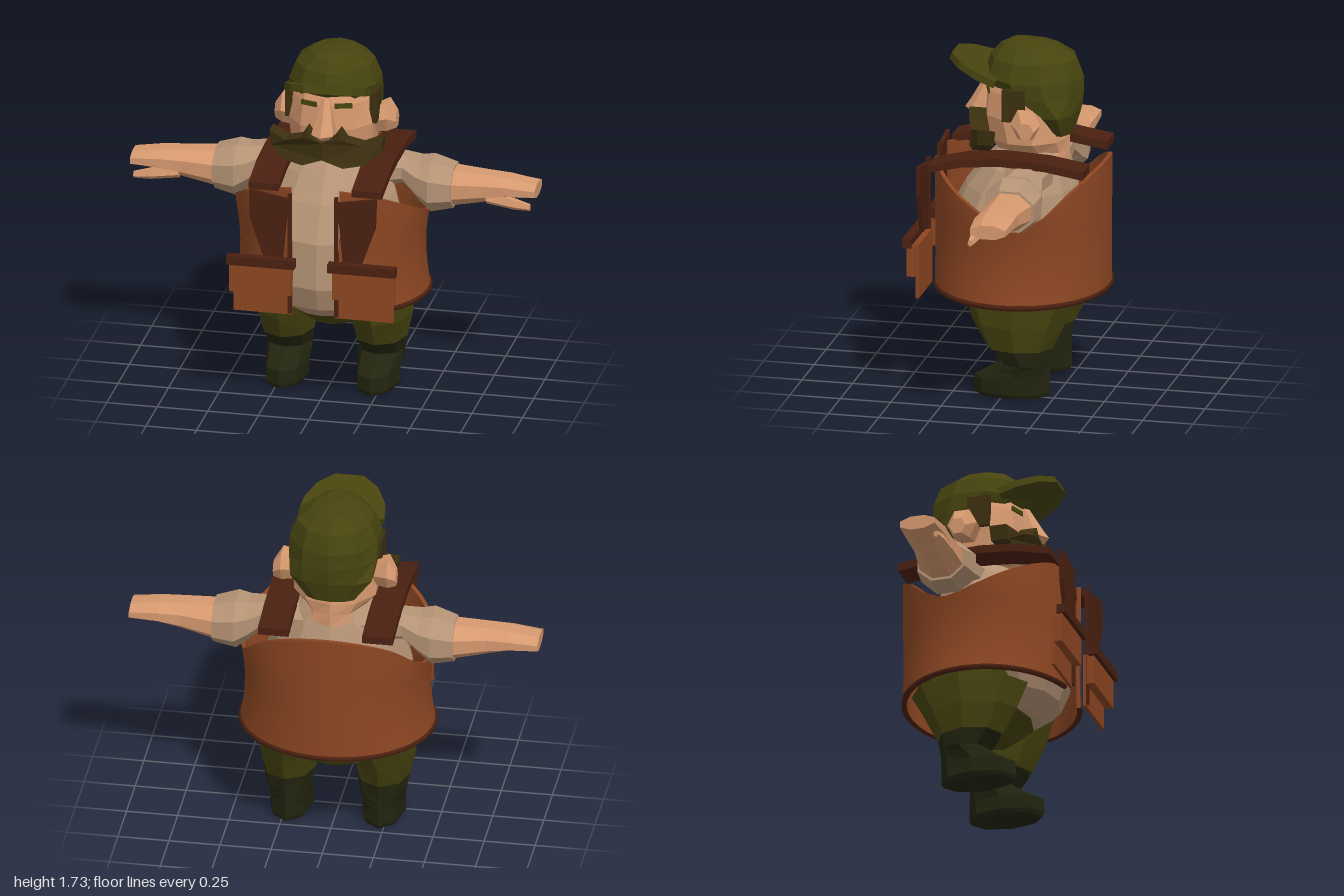
import * as THREE from 'three';
import { toCreasedNormals } from 'three/addons/utils/BufferGeometryUtils.js';

const paint = (name, color, flatShading = true) => {
  const m = new THREE.MeshStandardMaterial({ color, flatShading });
  m.name = name;
  return m;
};

// Skin a list of equal-length rings and close both ends with fans
function loft(rings) {
  const n = rings[0].length, pos = [], index = [];
  rings.forEach(r => r.forEach(p => pos.push(...p)));
  for (let i = 0; i < rings.length - 1; i++) {
    for (let j = 0; j < n; j++) {
      const k = (j + 1) % n, a = i * n + j, b = i * n + k;
      index.push(a, b, b + n, a, b + n, a + n);
    }
  }
  [0, rings.length - 1].forEach((r, end) => {
    const c = pos.length / 3;
    pos.push(...[0, 1, 2].map(d => rings[r].reduce((s, p) => s + p[d], 0) / n));
    for (let j = 0; j < n; j++) {
      const a = r * n + j, b = r * n + (j + 1) % n;
      index.push(c, end ? a : b, end ? b : a);
    }
  });
  const g = new THREE.BufferGeometry();
  g.setAttribute('position', new THREE.Float32BufferAttribute(pos, 3));
  g.setIndex(index);
  g.computeVertexNormals();
  return g;
}

// Upright form: rows of [y, half width, front z, back z, centre x]
const upright = (rows, sides = 10) => loft(rows.map(([y, rx, zf, zb, cx = 0]) =>
  Array.from({ length: sides }, (_, j) => {
    const t = j / sides * Math.PI * 2;
    return [cx + rx * Math.sin(t), y, (zf + zb) / 2 + (zf - zb) / 2 * Math.cos(t)];
  })));

// Sideways form: rows of [x, centre y, half height, centre z, half depth]
const sideways = (rows, sides = 8) => loft(rows.map(([x, cy, ry, cz, rz]) =>
  Array.from({ length: sides }, (_, j) => {
    const t = (j + 0.5) / sides * Math.PI * 2;
    return [x, cy + ry * Math.cos(t), cz + rz * Math.sin(t)];
  })));

const extrude = (pts, depth) => new THREE.ExtrudeGeometry(
  new THREE.Shape(pts.map(p => new THREE.Vector2(...p))), { depth, bevelEnabled: false });

const box = (w, h, d, x, y, z) => new THREE.BoxGeometry(w, h, d).translate(x, y, z);

// Height of the vest's top edge, dipping under the arms
const EDGE = [[-0.47, 1.17], [-0.35, 1.07], [-0.25, 0.97], [-0.15, 0.915], [-0.05, 0.93],
  [0.05, 0.97], [0.2, 1.05], [0.39, 1.165]];
function edgeHeight(z) {
  for (let i = 1; i < EDGE.length; i++) {
    const [z0, y0] = EDGE[i - 1], [z1, y1] = EDGE[i];
    if (z <= z1) return y0 + (y1 - y0) * Math.max(0, (z - z0) / (z1 - z0));
  }
  return 1.165;
}

// Point on the vest wall at angle t, height y, pushed inward by inset
function wall(t, y, inset = 0) {
  const flare = 0.45 + 0.025 * Math.min(1, ((y - 0.73) / 0.22) ** 2);
  return [(flare - inset) * Math.sin(t), y, -0.04 + (0.425 - inset) * Math.cos(t)];
}

function vestGeometry() {
  const cols = 64, steps = 8, open = 0.265, rings = [];
  for (let i = 0; i <= cols; i++) {
    const t = open + (Math.PI * 2 - open * 2) * i / cols;
    const top = edgeHeight(-0.04 + 0.425 * Math.cos(t));
    const ys = Array.from({ length: steps + 1 }, (_, k) => 0.51 + (top - 0.51) * k / steps);
    rings.push([...ys.map(y => wall(t, y, 0.02)), ...ys.reverse().map(y => wall(t, y))]);
  }
  return toCreasedNormals(loft(rings), 0.7);
}

export function createModel() {
  const model = new THREE.Group();
  model.name = 'figure';
  const skin = paint('skin', 0xd6996f), shirt = paint('shirt', 0xb59375);
  const olive = paint('olive cloth', 0x47440f), boots = paint('boot', 0x22240f);
  const hair = paint('hair', 0x3d3010);
  const leather = paint('leather', 0x8c4622, false), trim = paint('dark leather', 0x4a2010, false);

  const add = (name, geo, mat, parent = model) => {
    const m = new THREE.Mesh(geo, mat);
    m.name = name;
    parent.add(m);
    return m;
  };

  // Torso and hips
  add('torso', upright([[0.43, 0.17, 0.2, -0.1], [0.5, 0.27, 0.3, -0.2], [0.62, 0.35, 0.345, -0.3],
    [0.85, 0.36, 0.33, -0.33], [1.02, 0.31, 0.24, -0.31], [1.13, 0.26, 0.15, -0.27],
    [1.21, 0.17, 0.08, -0.24]], 12), shirt);
  add('hips', upright([[0.33, 0.12, 0.05, -0.2], [0.42, 0.3, 0.15, -0.34], [0.52, 0.4, 0.22, -0.39],
    [0.68, 0.4, 0.25, -0.38], [0.74, 0.3, 0.2, -0.3]], 12), olive);

  // Head
  add('head', upright([[1.14, 0.17, 0.06, -0.27], [1.2, 0.15, 0.09, -0.27], [1.26, 0.21, 0.13, -0.27],
    [1.38, 0.22, 0.15, -0.25], [1.5, 0.2, 0.14, -0.26], [1.6, 0.17, 0.1, -0.25]]), skin);
  add('nose', upright([[1.345, 0.035, 0.21, 0.1], [1.375, 0.062, 0.25, 0.09], [1.42, 0.052, 0.22, 0.09],
    [1.54, 0.022, 0.15, 0.08]], 6), skin);

  // Cap with its peak
  add('cap', upright([[1.29, 0.12, -0.19, -0.29], [1.4, 0.21, -0.11, -0.325], [1.49, 0.225, 0.08, -0.34],
    [1.57, 0.225, 0.15, -0.34], [1.66, 0.19, 0.12, -0.305], [1.715, 0.12, 0.07, -0.22],
    [1.74, 0.05, 0.02, -0.09]]), olive);
  const peak = add('capPeak', extrude([[-0.21, 0], [0.21, 0], [0.2, 0.1], [0.15, 0.2], [0.07, 0.265],
    [-0.07, 0.265], [-0.15, 0.2], [-0.2, 0.1]], 0.035).rotateX(Math.PI / 2), olive);
  peak.position.set(0, 1.575, 0.05);
  peak.rotation.x = -0.35;

  // Moustache, swept back towards its tips
  const half = [[0.05, 1.355], [0.08, 1.4], [0.11, 1.35], [0.19, 1.32], [0.28, 1.345], [0.27, 1.27],
    [0.2, 1.22], [0.1, 1.21]];
  const moustache = extrude([[0, 1.335], ...half, [0, 1.25],
    ...half.map(([x, y]) => [-x, y]).reverse()].reverse(), 0.085);
  const p = moustache.attributes.position;
  for (let i = 0; i < p.count; i++) p.setZ(i, p.getZ(i) + 0.135 - 0.1 * (p.getX(i) / 0.28) ** 2);
  moustache.computeVertexNormals();
  add('moustache', moustache, hair);

  // Vest body and hem
  add('vest', vestGeometry(), leather);
  const hem = Array.from({ length: 49 }, (_, i) =>
    new THREE.Vector3(...wall(0.25 + (Math.PI * 2 - 0.5) * i / 48, 0.517, 0.005)));
  add('vestHem', new THREE.TubeGeometry(new THREE.CatmullRomCurve3(hem), 64, 0.015, 6), trim);

  // Everything that comes in pairs
  for (const side of [1, -1]) {
    const pair = new THREE.Group();
    pair.name = side > 0 ? 'leftSide' : 'rightSide';
    pair.scale.x = side;
    model.add(pair);
    const put = (name, geo, mat) => add(name, geo, mat, pair);

    // Leg
    put('boot', upright([[0.01, 0.095, 0.145, -0.215, 0.225], [0.03, 0.107, 0.155, -0.225, 0.225],
      [0.1, 0.107, 0.15, -0.225, 0.225], [0.14, 0.11, 0.08, -0.225, 0.225],
      [0.18, 0.115, 0.02, -0.225, 0.23], [0.265, 0.13, 0.09, -0.24, 0.23]], 8), boots);
    put('trouserLeg', upright([[0.255, 0.13, 0.09, -0.24, 0.23], [0.38, 0.155, 0.16, -0.3, 0.232],
      [0.52, 0.19, 0.21, -0.38, 0.21]], 8), olive);

    // Arm
    put('sleeve', sideways([[0.12, 1.1, 0.1, -0.1, 0.14], [0.34, 1.115, 0.075, -0.12, 0.1],
      [0.42, 1.07, 0.11, -0.11, 0.13], [0.48, 1.05, 0.14, -0.105, 0.15],
      [0.59, 1.045, 0.11, -0.11, 0.13]]), shirt);
    put('forearm', sideways([[0.57, 1.045, 0.1, -0.11, 0.12], [0.75, 1.06, 0.075, -0.1, 0.1],
      [0.86, 1.07, 0.055, -0.1, 0.105], [1, 1.065, 0.037, -0.1, 0.095]]), skin);
    put('thumb', sideways([[0.76, 1.03, 0.04, -0.04, 0.04], [0.9, 1.01, 0.03, -0.015, 0.025],
      [0.98, 1.0, 0.018, -0.01, 0.015]], 5), skin);

    // Face details
    put('ear', sideways([[0.19, 1.37, 0.07, -0.09, 0.06], [0.26, 1.385, 0.085, -0.11, 0.075],
      [0.3, 1.36, 0.045, -0.12, 0.04]], 6), skin);
    put('sideburn', box(0.035, 0.16, 0.11, 0.208, 1.46, -0.04), hair);
    const eye = put('eye', new THREE.BoxGeometry(0.085, 0.024, 0.009), olive);
    eye.position.set(0.085, 1.5, 0.115);
    eye.rotation.y = 0.31;

    // Vest fittings: strap over the shoulder, lapel, edge strip and pocket
    put('shoulderStrap', extrude([[0.36, 1.13], [0.36, 1.165], [0.18, 1.21], [0, 1.225], [-0.22, 1.215],
      [-0.41, 1.185], [-0.41, 1.145], [-0.22, 1.175], [0, 1.185], [0.18, 1.17]].reverse(), 0.15)
      .rotateY(-Math.PI / 2).translate(0.33, 0, 0), trim);
    put('lapel', extrude([[0.15, 0.8], [0.24, 0.8], [0.31, 1.0], [0.315, 1.15], [0.12, 1.115]], 0.02)
      .translate(0, 0, 0.4), trim);
    put('edgeStrip', box(0.018, 0.62, 0.02, 0.115, 0.83, 0.405), trim);
    put('pocketBacking', box(0.29, 0.27, 0.015, 0.25, 0.645, 0.395), leather);
    put('pocket', box(0.305, 0.155, 0.04, 0.255, 0.7, 0.425), leather);
    put('pocketFlap', box(0.335, 0.045, 0.045, 0.25, 0.79, 0.442), trim);
  }
  return model;
}
